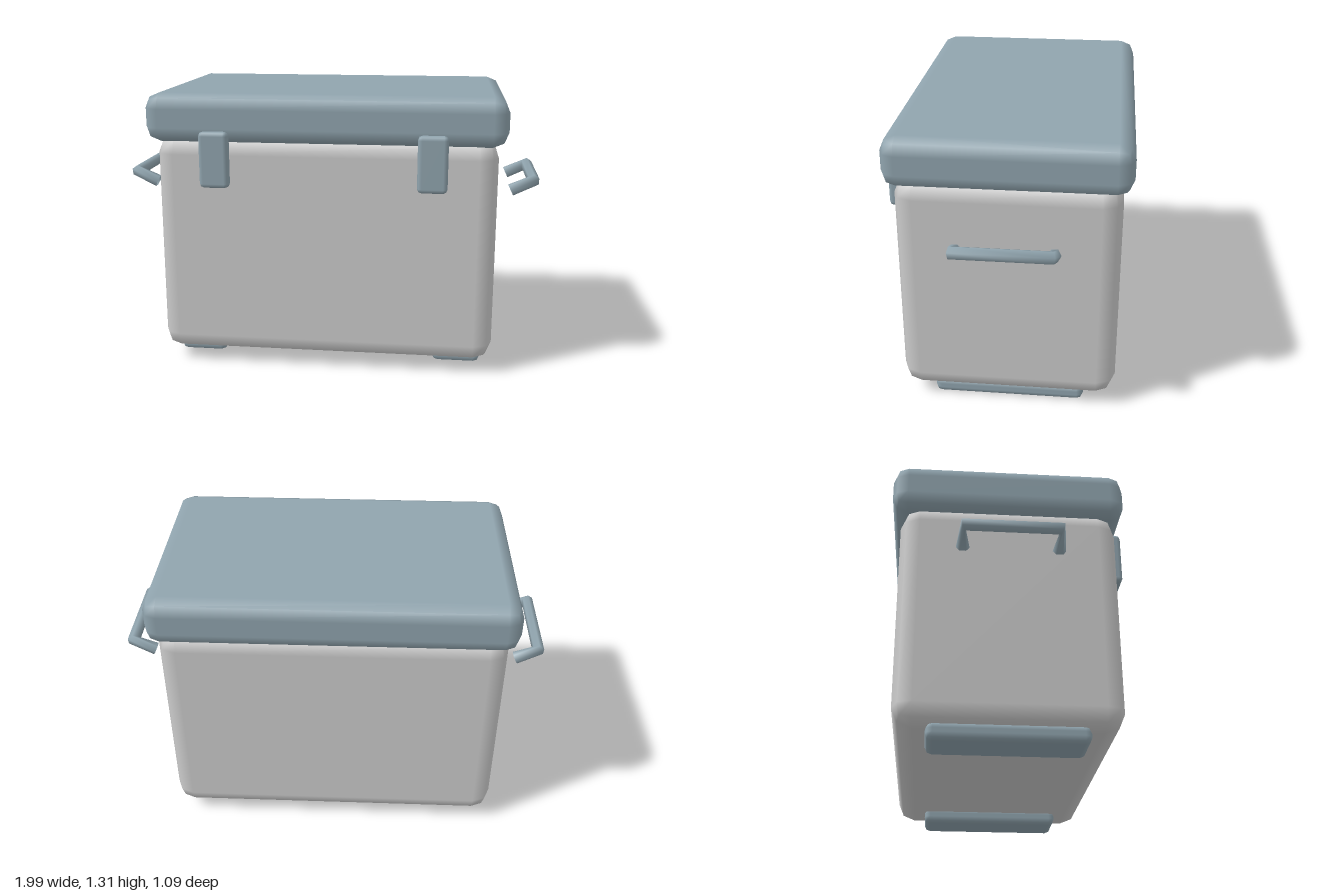
import * as THREE from 'three';
import { RoundedBoxGeometry } from 'three/addons/geometries/RoundedBoxGeometry.js';

const grey = new THREE.MeshStandardMaterial({ color: 0xcccccc });
const slate = new THREE.MeshStandardMaterial({ color: 0x90a4ae });
const slateTube = new THREE.MeshStandardMaterial({ color: 0x90a4ae, side: THREE.DoubleSide });

const MID_Z = -0.0125;

// Bevelled box given by its min and max corners
function block(name, min, max, radius, material) {
  const [w, h, d] = max.map((v, i) => v - min[i]);
  const mesh = new THREE.Mesh(new RoundedBoxGeometry(w, h, d, 1, radius), material);
  mesh.position.set(...max.map((v, i) => (v + min[i]) / 2));
  mesh.name = name;
  return mesh;
}

// Angular bracket: straight stations with a chosen direction at each one
class BracketCurve extends THREE.Curve {
  constructor(points, tangents) {
    super();
    this.points = points;
    this.tangents = tangents.map((t) => t.normalize());
  }
  getPoint(t, target = new THREE.Vector3()) {
    const s = t * (this.points.length - 1);
    const i = Math.min(Math.floor(s + 1e-6), this.points.length - 2);
    return target.lerpVectors(this.points[i], this.points[i + 1], s - i);
  }
  getPointAt(t, target) {
    return this.getPoint(t, target);
  }
  getTangentAt(t, target = new THREE.Vector3()) {
    return target.copy(this.tangents[Math.round(t * (this.tangents.length - 1))]);
  }
}

// Side handle: two arms rising outwards, joined by a bar
function handle(side) {
  const v = (x, y, z) => new THREE.Vector3(x * side, y, z);
  const half = 0.212;
  const path = new BracketCurve(
    [v(0.866, 0.84, -half), v(0.971, 0.888, -half), v(0.971, 0.888, half), v(0.866, 0.84, half)],
    [v(0.9, 0.43, 0), v(0.32, 0.15, 0.94), v(-0.32, -0.15, 0.94), v(-0.9, -0.43, 0)]
  );
  const mesh = new THREE.Mesh(new THREE.TubeGeometry(path, 3, 0.03, 6), slateTube);
  mesh.position.z = MID_Z;
  return mesh;
}

export function createModel() {
  const model = new THREE.Group();
  model.name = 'coolBox';

  model.add(block('body', [-0.792, 0.056, -0.505], [0.792, 1.115, 0.482], 0.087, grey));
  model.add(block('lid', [-0.83, 1.085, -0.545], [0.83, 1.312, 0.52], 0.07, slate));

  // Latches, feet and handles on both sides
  for (const side of [1, -1]) {
    const label = side > 0 ? 'left' : 'right';
    const x = 0.497 * side;
    model.add(block(label + 'Latch', [x - 0.068, 0.886, 0.485], [x + 0.068, 1.145, 0.547], 0.02, slate));

    const footX = 0.628 * side;
    model.add(block(label + 'Foot', [footX - 0.115, 0, -0.361], [footX + 0.115, 0.078, 0.336], 0.03, slate));

    const grip = handle(side);
    grip.name = label + 'Handle';
    model.add(grip);
  }
  return model;
}
